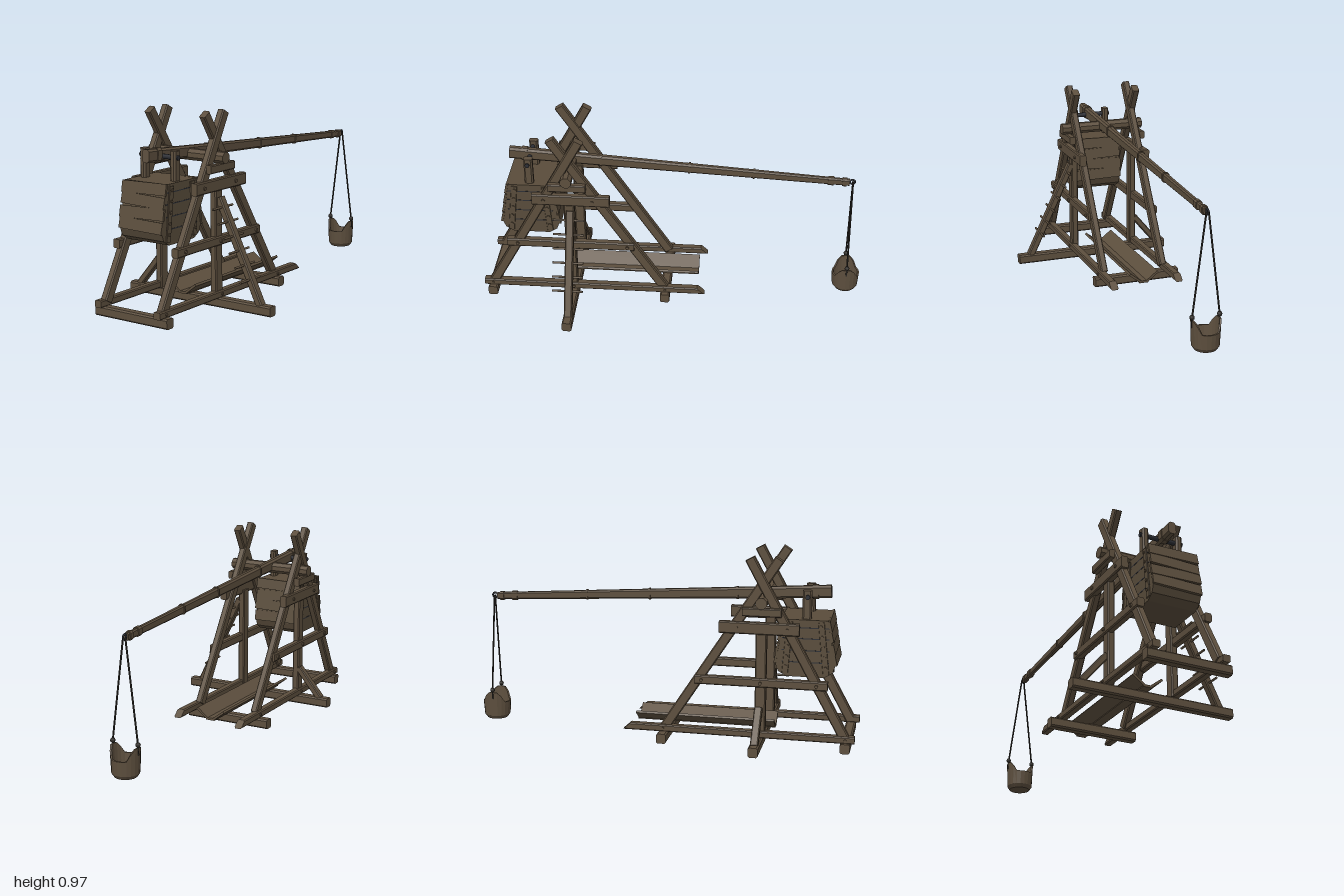
import * as THREE from 'three';

const mat = (name, color, side = THREE.FrontSide) => {
  const m = new THREE.MeshStandardMaterial({ color, side });
  m.name = name;
  return m;
};

export function createModel() {
  const root = new THREE.Group();
  root.name = 'trebuchet';
  const wood = mat('wood', 0x5d4f3e);
  const boxWood = mat('boxWood', 0x594c3b);
  const iron = mat('iron', 0x2d2f35);
  const rope = mat('rope', 0x2e2b27);
  const V = (x, y, z) => new THREE.Vector3(x, y, z);
  const MID = -0.0655; // centre plane between the two side frames

  const add = (name, geo, material, parent = root) => {
    const m = new THREE.Mesh(geo, material);
    m.name = name;
    parent.add(m);
    return m;
  };

  // Chamfered timber from a to b; taper scales the far end, slant cuts it at an angle
  function beam(name, a, b, w, h, { taper = 1, slant = 0, chamfer = 0.15, material = wood, parent = root } = {}) {
    const c = Math.min(w, h) * chamfer, x = w / 2, y = h / 2;
    const s = new THREE.Shape([[-x + c, -y], [x - c, -y], [x, -y + c], [x, y - c], [x - c, y], [-x + c, y], [-x, y - c], [-x, -y + c]]
      .map(p => new THREE.Vector2(...p)));
    const dir = b.clone().sub(a), len = dir.length();
    dir.normalize();
    const g = new THREE.ExtrudeGeometry(s, { depth: len, bevelEnabled: false });
    const p = g.attributes.position;
    for (let i = 0; i < p.count; i++) {
      if (p.getZ(i) < len / 2) continue;
      p.setZ(i, len - slant * (p.getY(i) / h + 0.5));
      p.setX(i, p.getX(i) * taper);
      p.setY(i, p.getY(i) * taper);
    }
    g.computeVertexNormals();
    const up = Math.abs(dir.y) > 0.99 ? V(0, 0, 1) : V(0, 1, 0);
    const ax = up.cross(dir).normalize();
    g.applyMatrix4(new THREE.Matrix4().makeBasis(ax, dir.clone().cross(ax), dir).setPosition(a));
    return add(name, g, material, parent);
  }

  // Round bar between two points
  function bar(name, a, b, r, material, sides = 8, parent = root) {
    const d = b.clone().sub(a);
    const m = add(name, new THREE.CylinderGeometry(r, r, d.length(), sides), material, parent);
    m.position.copy(a).add(b).multiplyScalar(0.5);
    m.quaternion.setFromUnitVectors(V(0, 1, 0), d.normalize());
    return m;
  }
  const bolt = (x, y, z, s, parent, r = 0.009) =>
    bar('bolt', V(x - s * 0.008, y, z), V(x + s * 0.006, y, z), r, wood, 6, parent);

  // Ground cross beams
  for (const [x0, x1, z] of [[-0.28, 0.155, 0.95], [-0.43, 0.43, 0.515], [-0.315, 0.155, 0.03]])
    beam('groundBeam', V(x0, 0.026, z), V(x1, 0.026, z), 0.05, 0.05);

  // Two mirrored side frames
  for (const s of [-1, 1]) {
    const f = new THREE.Group();
    f.name = s > 0 ? 'leftFrame' : 'rightFrame';
    root.add(f);
    const o = { parent: f }, X = d => MID + s * d;
    beam('groundRail', V(X(0.179), 0.066, 0.995), V(X(0.179), 0.066, -0.18), 0.04, 0.036, { parent: f, slant: 0.04 });
    beam('frontLeg', V(X(0.171), 0.07, 0.945), V(X(0.171), 0.955, 0.46), 0.038, 0.05, o);
    beam('rearLeg', V(X(0.166), 0.07, 0.035), V(X(0.166), 0.955, 0.605), 0.036, 0.05, o);
    beam('post', V(X(0.17), 0.05, 0.522), V(X(0.17), 0.6, 0.522), 0.036, 0.055, o);
    beam('lowerTie', V(X(0.178), 0.333, 0.855), V(X(0.178), 0.333, 0.19), 0.038, 0.045, o);
    beam('middleTie', V(X(0.181), 0.61, 0.71), V(X(0.181), 0.61, 0.312), 0.036, 0.06, o);
    beam('axleRest', V(X(0.2), 0.695, 0.622), V(X(0.2), 0.695, 0.43), 0.032, 0.042, o);
    for (const [y, z] of [[0.333, 0.8], [0.333, 0.225], [0.333, 0.522], [0.61, 0.65], [0.61, 0.4]])
      bolt(X(0.199), y, z, s, f);
    for (const z of [0.95, 0.515, 0.03]) bolt(X(0.199), 0.066, z, s, f, 0.007);
  }

  // Outrigger braces; the long one carries climbing rungs
  beam('shortBrace', V(-0.38, 0.045, 0.515), V(-0.25, 0.2, 0.515), 0.04, 0.032);
  beam('longBrace', V(0.362, 0.045, 0.515), V(0.122, 0.545, 0.515), 0.042, 0.036);
  for (let i = 0; i < 6; i++) {
    const y = 0.165 + i * 0.067, x = 0.362 - (y - 0.045) * 0.48;
    bar('rung', V(x, y, 0.442), V(x, y, 0.602), 0.006, wood, 6);
  }

  // V-shaped sling trough
  for (const s of [-1, 1]) {
    const g = new THREE.BoxGeometry(0.078, 0.012, 0.72);
    const m = add('troughBoard', g, wood);
    m.position.set(-0.061 + s * 0.047, 0.082, 0.22);
    m.rotation.z = s * 0.66;
  }
  add('troughFloor', new THREE.BoxGeometry(0.05, 0.012, 0.72), wood).position.set(-0.061, 0.058, 0.22);

  // Axle
  const axle = bar('axle', V(-0.292, 0.742, 0.525), V(0.168, 0.742, 0.525), 0.03, wood, 8);
  axle.geometry.rotateY(Math.PI / 8);
  axle.material = wood;
  axle.geometry = axle.geometry.toNonIndexed();
  axle.geometry.computeVertexNormals();

  // Throwing arm with collars
  const armA = V(MID + 0.003, 0.772, 0.845), armB = V(MID + 0.003, 0.67, -0.905);
  beam('throwingArm', armA, armB, 0.042, 0.064, { taper: 0.56, chamfer: 0.25 });
  const along = t => armA.clone().lerp(armB, t);
  for (const [t, len] of [[0.045, 0.03], [0.27, 0.01], [0.53, 0.01], [0.72, 0.01], [0.945, 0.03], [0.985, 0.022]]) {
    const k = 1 - 0.44 * t;
    beam('armCollar', along(t - len / 3.5), along(t + len / 3.5), 0.042 * k + 0.008, 0.064 * k + 0.008, { chamfer: 0.25 });
  }
  const ring = add('slingRing', new THREE.TorusGeometry(0.013, 0.005, 6, 12), iron);
  ring.position.set(MID + 0.003, 0.673, -0.919);
  ring.rotation.y = Math.PI / 2;

  // Counterweight box
  const box = new THREE.Group();
  box.name = 'counterweight';
  root.add(box);
  const profile = [[0.845, 0.65], [0.883, 0.42], [0.87, 0.385], [0.83, 0.36], [0.64, 0.36], [0.6, 0.385], [0.587, 0.42], [0.618, 0.65]];
  const body = new THREE.ExtrudeGeometry(new THREE.Shape(profile.map(([z, y]) => new THREE.Vector2(-z, y))), { depth: 0.252, bevelEnabled: false });
  body.rotateY(Math.PI / 2);
  add('boxBody', body, boxWood, box).position.x = MID - 0.127;

  // Overlapping planks on the front and back of the box
  for (const [front, zTop, zLow] of [[1, 0.847, 0.886], [-1, 0.616, 0.585]])
    for (let i = 0; i < 4; i++) {
      const t = (i + 0.5) / 4;
      const m = add('boxPlank', new THREE.BoxGeometry(0.264 - (i % 2) * 0.006, 0.056, 0.012), boxWood, box);
      m.position.set(MID - 0.001, 0.652 - 0.232 * t, zTop + (zLow - zTop) * t + front * 0.001);
      m.rotation.set(-Math.atan((zLow - zTop) / 0.23) - front * 0.05, 0, [0.02, -0.03, 0.025, -0.02][i]);
    }

  // Straps, seams and bolts on the box sides
  for (const s of [-1, 1]) {
    const x = MID - 0.001 + s * 0.128;
    for (const [zt, zb] of [[0.81, 0.84], [0.655, 0.635]]) {
      beam('sideStrap', V(x, 0.64, zt), V(x, 0.375, zb), 0.008, 0.03, { material: boxWood, parent: box });
      for (let i = 0; i < 5; i++) bolt(x + s * 0.003, 0.62 - i * 0.052, zt + (zb - zt) * i / 4.5, s, box, 0.008);
    }
    for (const y of [0.435, 0.495, 0.555, 0.61])
      add('sideSeam', new THREE.BoxGeometry(0.004, 0.005, 0.235), iron, box).position.set(MID - 0.001 + s * 0.125, y, 0.735);
  }

  // Hangers and pin joining the box to the arm
  for (const s of [-1, 1]) {
    const x = MID + s * 0.091;
    beam('hanger', V(x, 0.6, 0.735), V(x, 0.792, 0.735), 0.033, 0.046, { chamfer: 0.25 });
  }
  bar('hangerPin', V(MID - 0.115, 0.76, 0.738), V(MID + 0.115, 0.76, 0.738), 0.012, iron, 10);

  // Sling bucket: double-walled bowl whose rim rises into an ear on each side
  const cup = new THREE.LatheGeometry([[0, 0.006], [0.055, 0.006], [0.068, 0.025], [0.073, 0.1], [0.064, 0.1], [0.058, 0.03], [0, 0.022]]
    .map(p => new THREE.Vector2(...p)), 20).toNonIndexed();
  const cp = cup.attributes.position;
  for (let i = 0; i < cp.count; i++) {
    if (cp.getY(i) < 0.09) continue;
    const c = Math.abs(cp.getX(i)) / Math.hypot(cp.getX(i), cp.getZ(i));
    cp.setY(i, 0.098 + 0.058 * THREE.MathUtils.smoothstep(c, 0.55, 1));
  }
  cup.computeVertexNormals();
  const bucket = add('slingBucket', cup, wood);
  bucket.position.set(-0.062, 0, -0.927);

  // Sling ropes and their knots
  for (const s of [-1, 1]) {
    const x = -0.062 + s * 0.07;
    bar('slingRope', V(x, 0.17, -0.927), V(-0.0625 + s * 0.006, 0.672, -0.922), 0.0045, rope, 6);
    bar('ropeEnd', V(x, 0.12, -0.927), V(x, 0.17, -0.927), 0.005, rope, 6);
    add('ropeKnot', new THREE.SphereGeometry(0.013, 8, 6), rope).position.set(x, 0.17, -0.927);
  }
  return root;
}
